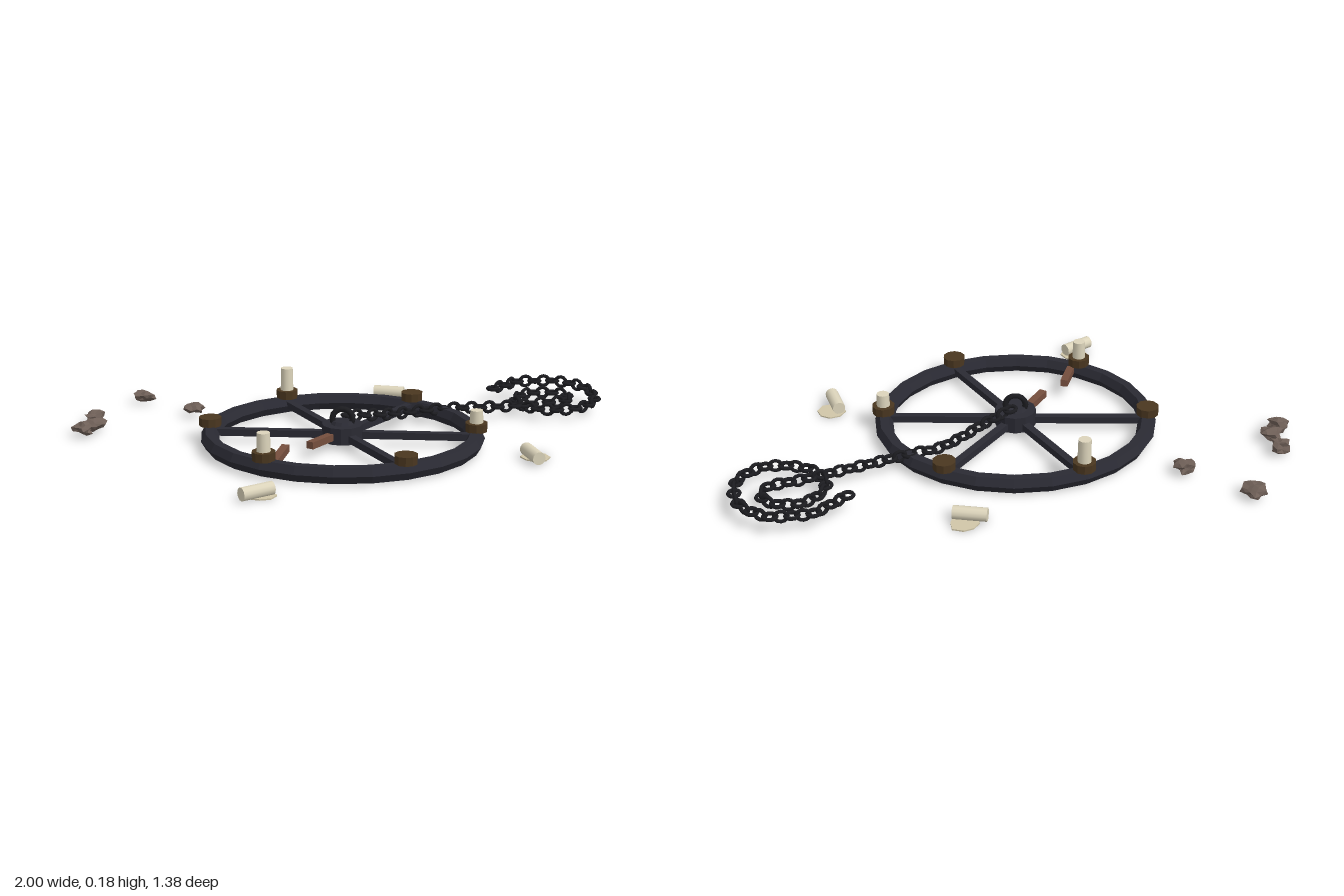
import * as THREE from 'three';

const material = (name, color, flatShading = true) => {
  const m = new THREE.MeshStandardMaterial({ color, flatShading });
  m.name = name;
  return m;
};

export function createModel() {
  const root = new THREE.Group();
  root.name = 'fallenChandelier';
  const iron = material('darkIron', 0x2a2a33);
  const chainIron = material('chainIron', 0x1c1c20, false);
  const bronze = material('agedBronze', 0x4a3720);
  const rust = material('rustyBreak', 0x754e3d);
  const wax = material('candleWax', 0xdcd4bb, false);
  const spilled = material('spilledWax', 0xd0c6a8);
  const stone = material('rubble', 0x6e5f57);

  const V = (x, y, z) => new THREE.Vector3(x, y, z);
  const UP = V(0, 1, 0);
  const add = (name, geo, mat, x = 0, y = 0, z = 0, parent = root) => {
    const m = new THREE.Mesh(geo, mat);
    m.name = name;
    m.position.set(x, y, z);
    parent.add(m);
    return m;
  };
  // square bar between two points
  const bar = (name, a, b, mat) => {
    const c = a.clone().add(b).multiplyScalar(0.5);
    const m = add(name, new THREE.BoxGeometry(0.028, 0.026, a.distanceTo(b)), mat, c.x, c.y, c.z);
    m.lookAt(b);
  };

  // Wheel, slightly squashed from the fall
  const CX = 0.017, CZ = 0.029, R = 0.488, SQUASH = 0.91;
  const onRim = (angle, y, r = R) => V(CX + Math.cos(angle) * r, y, CZ + Math.sin(angle) * r * SQUASH);
  const ring = new THREE.TorusGeometry(R, 0.033, 6, 24).rotateX(Math.PI / 2).scale(1, 1, SQUASH);
  add('wheelRim', ring, iron, CX, 0.036, CZ);
  add('hub', new THREE.CylinderGeometry(0.076, 0.076, 0.062, 12), iron, CX, 0.05, CZ);
  add('hubBoss', new THREE.CylinderGeometry(0.035, 0.045, 0.012, 10), iron, CX, 0.086, CZ);
  add('hubLoop', new THREE.TorusGeometry(0.037, 0.011, 6, 14), chainIron, CX, 0.099, CZ);

  // Spokes, sockets and standing candles; the third spoke is snapped
  const candleHeights = { 0: 0.05, 2: 0.07, 4: 0.09 };
  for (let i = 0; i < 6; i++) {
    const a = i * Math.PI / 3;
    if (i !== 2) bar('spoke', onRim(a, 0.04, 0.05), onRim(a, 0.04), iron);
    const p = onRim(a, 0);
    add('candleDish', new THREE.CylinderGeometry(0.042, 0.041, 0.032, 10), bronze, p.x, 0.079, p.z);
    const h = candleHeights[i];
    if (h) add('standingCandle', new THREE.CylinderGeometry(0.023, 0.025, h, 12), wax, p.x, 0.092 + h / 2, p.z);
  }
  bar('brokenSpokeInner', V(-0.015, 0.046, 0.075), V(-0.087, 0.05, 0.203), rust);
  bar('brokenSpokeOuter', V(-0.2, 0.042, 0.42), V(-0.167, 0.059, 0.263), rust);

  // Seeded noise
  let seed = 7;
  const rnd = () => (seed = (seed * 16807) % 2147483647) / 2147483647;

  // Fallen candles with flat wax puddles: x, z, axis dx, dz, puddle x, z
  [
    [0.163, -0.585, 0.99, 0.14, 0.183, -0.607],
    [0.703, 0.173, 0.34, 0.94, 0.715, 0.138],
    [-0.225, 0.632, 0.79, -0.62, -0.213, 0.603],
  ].forEach(([x, z, dx, dz, px, pz]) => {
    const candle = add('fallenCandle', new THREE.CylinderGeometry(0.024, 0.024, 0.12, 12), wax, x, 0.028, z);
    candle.quaternion.setFromUnitVectors(UP, V(dx, 0, dz).normalize());
    const outline = [];
    for (let k = 0; k < 8; k++) {
      const r = 0.046 + rnd() * 0.01, a = k / 8 * Math.PI * 2;
      outline.push(new THREE.Vector2(Math.cos(a) * r, Math.sin(a) * r));
    }
    const puddle = new THREE.ExtrudeGeometry(new THREE.Shape(outline), { depth: 0.005, bevelEnabled: false });
    add('waxPuddle', puddle.rotateX(-Math.PI / 2), spilled, px, 0.001, pz);
  });

  // Chain: runs off the hub, over the rim, then coils outward on the floor
  const path = new THREE.CatmullRomCurve3([
    [0.035, 0.1, -0.01], [0.12, 0.084, -0.075], [0.205, 0.068, -0.15], [0.29, 0.06, -0.218],
    [0.38, 0.06, -0.255], [0.52, 0.052, -0.31], [0.67, 0.045, -0.368], [0.76, 0.045, -0.41],
    [0.87, 0.045, -0.46], [0.868, 0.045, -0.53], [0.8, 0.045, -0.562], [0.73, 0.045, -0.55],
    [0.675, 0.045, -0.49], [0.668, 0.045, -0.415], [0.715, 0.045, -0.35], [0.79, 0.045, -0.32],
    [0.897, 0.05, -0.333], [0.968, 0.055, -0.42], [0.966, 0.06, -0.525], [0.93, 0.064, -0.6],
    [0.83, 0.065, -0.664], [0.755, 0.065, -0.658], [0.685, 0.065, -0.645], [0.63, 0.065, -0.59],
    [0.58, 0.065, -0.535],
  ].map(p => V(...p)));
  path.arcLengthDivisions = 600;
  const chain = new THREE.Group();
  chain.name = 'chain';
  root.add(chain);
  const linkGeo = new THREE.TorusGeometry(0.02, 0.007, 6, 12).scale(1.1, 1, 1);
  const count = Math.round(path.getLength() / 0.0365 / 2) * 2;
  const basis = new THREE.Matrix4();
  for (let i = 0; i <= count; i++) {
    const p = path.getPointAt(i / count);
    const t = path.getTangentAt(i / count);
    const side = V(0, 0, 0).crossVectors(UP, t).normalize();
    const up = V(0, 0, 0).crossVectors(t, side);
    const link = add('chainLink', linkGeo, chainIron, p.x, p.y, p.z, chain);
    // links alternate between lying flat and standing on edge
    if (i % 2 === 0) basis.makeBasis(t, side, up);
    else basis.makeBasis(t, up, side.negate());
    link.quaternion.setFromRotationMatrix(basis);
  }

  // Rubble: jagged flattened lumps
  [
    [-0.81, -0.438, 0.049], [-0.58, -0.282, 0.044], [-0.943, -0.144, 0.046],
    [-0.922, -0.056, 0.046], [-0.953, 0.007, 0.045],
  ].forEach(([x, z, r]) => {
    const geo = new THREE.IcosahedronGeometry(r, 1);
    const pos = geo.attributes.position, v = V(0, 0, 0), factors = new Map();
    for (let i = 0; i < pos.count; i++) {
      v.fromBufferAttribute(pos, i);
      const key = v.toArray().map(n => Math.round(n * 1e4)).join();
      if (!factors.has(key)) factors.set(key, 0.5 + rnd() * 0.62);
      v.multiplyScalar(factors.get(key));
      pos.setXYZ(i, v.x, v.y * 0.58, v.z);
    }
    geo.computeVertexNormals();
    add('rubblePiece', geo, stone, x, 0.031, z).rotation.y = rnd() * 6;
  });

  return root;
}
